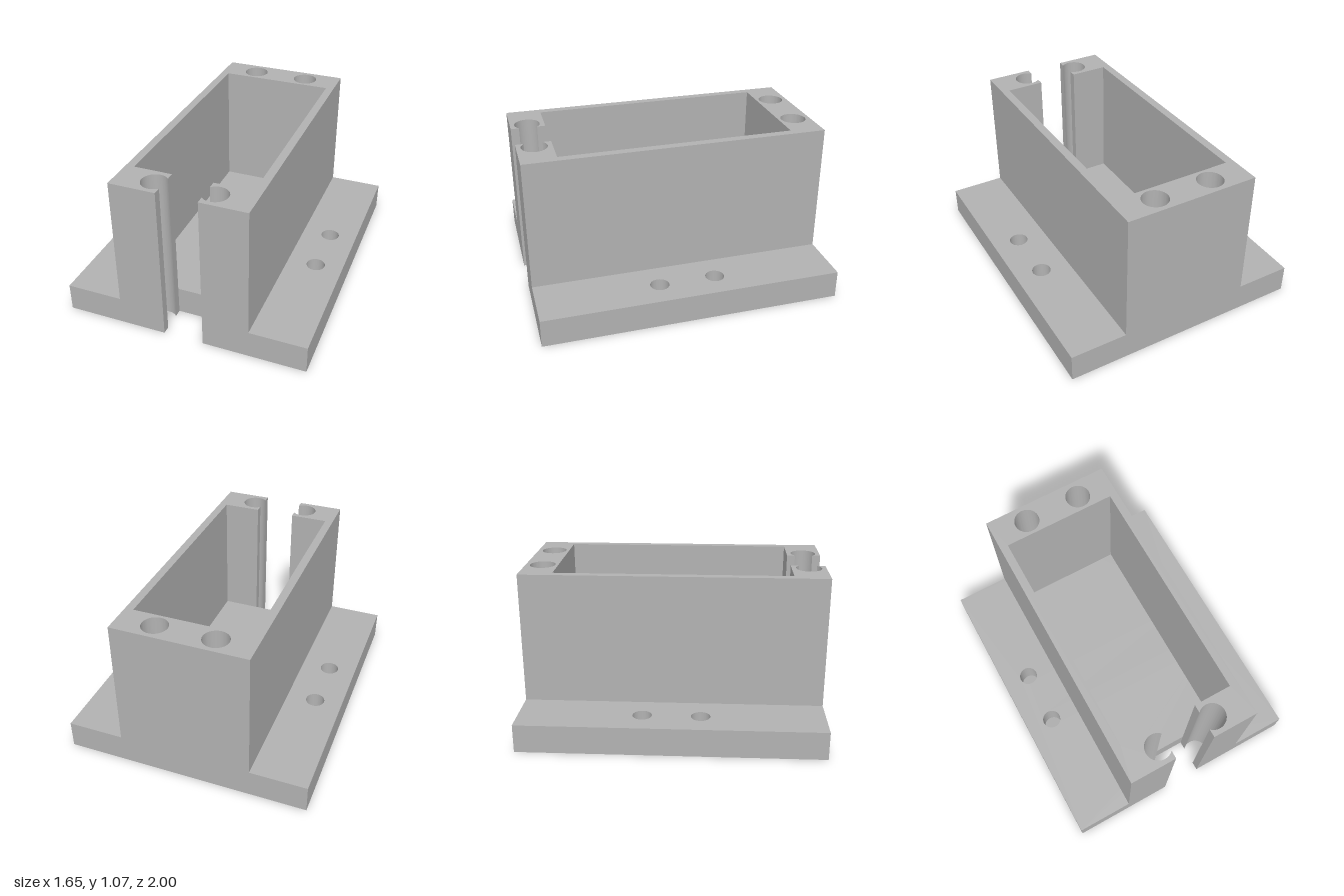
import * as THREE from 'three';
import { toCreasedNormals } from 'three/addons/utils/BufferGeometryUtils.js';

const BASE_W = 0.825, BLOCK_W = 0.445, BASE_H = 0.19, TOP = 1.07;
const POCKET_X = 0.39, POCKET_BACK = 0.78, POCKET_FRONT = -0.77;
const SLOT = 0.135, BORE_X = 0.195, BORE_Z = 0.885, BORE_R = 0.085;
const Q = Math.PI / 4;

// Plan outline (shape y = -z) with the front slot and its two open bores.
// "inner" lists the points between the two inner ends of the slot walls.
function outline(halfWidth, inner) {
  const s = new THREE.Shape();
  s.moveTo(-halfWidth, 1);
  s.lineTo(-halfWidth, -1);
  s.lineTo(-SLOT, -1);
  s.absarc(-BORE_X, -BORE_Z, BORE_R, -Q, Q, true);
  s.lineTo(-SLOT, POCKET_FRONT);
  for (const [x, y] of inner) s.lineTo(x, y);
  s.lineTo(SLOT, POCKET_FRONT);
  s.absarc(BORE_X, -BORE_Z, BORE_R, 3 * Q, -3 * Q, true);
  s.lineTo(SLOT, -1);
  s.lineTo(halfWidth, -1);
  s.lineTo(halfWidth, 1);
  s.closePath();
  return s;
}

function hole(x, y, r, a0 = 0, a1 = Math.PI * 2) {
  const p = new THREE.Path();
  p.absarc(x, y, r, a0, a1, false);
  p.closePath();
  return p;
}

// Extrude a plan shape upward between two heights
function slab(name, shape, y0, y1, material) {
  let geo = new THREE.ExtrudeGeometry(shape, { depth: y1 - y0, bevelEnabled: false, curveSegments: 32 });
  geo.rotateX(-Math.PI / 2);
  geo.translate(0, y0, 0);
  geo = toCreasedNormals(geo, 0.5);
  const mesh = new THREE.Mesh(geo, material);
  mesh.name = name;
  return mesh;
}

export function createModel() {
  const group = new THREE.Group();
  group.name = 'mountingHousing';
  const grey = new THREE.MeshStandardMaterial({ color: 0xb2b2b2 });
  grey.name = 'grey';

  // Flanged base: four screw holes, two rear bores cut flat on the inner side
  const base = outline(BASE_W, []);
  for (const x of [-0.64, 0.64])
    for (const y of [-0.19, 0.19]) base.holes.push(hole(x, y, 0.063));
  base.holes.push(hole(-BORE_X, BORE_Z, BORE_R, Q, 7 * Q));
  base.holes.push(hole(BORE_X, BORE_Z, BORE_R, -3 * Q, 3 * Q));
  group.add(slab('base', base, 0, BASE_H, grey));

  // Walls around the pocket, open to the slot, with full rear bores
  const walls = outline(BLOCK_W, [
    [-POCKET_X, POCKET_FRONT], [-POCKET_X, POCKET_BACK],
    [POCKET_X, POCKET_BACK], [POCKET_X, POCKET_FRONT],
  ]);
  for (const x of [-BORE_X, BORE_X]) walls.holes.push(hole(x, BORE_Z, BORE_R));
  group.add(slab('housingWalls', walls, BASE_H, TOP, grey));

  return group;
}
